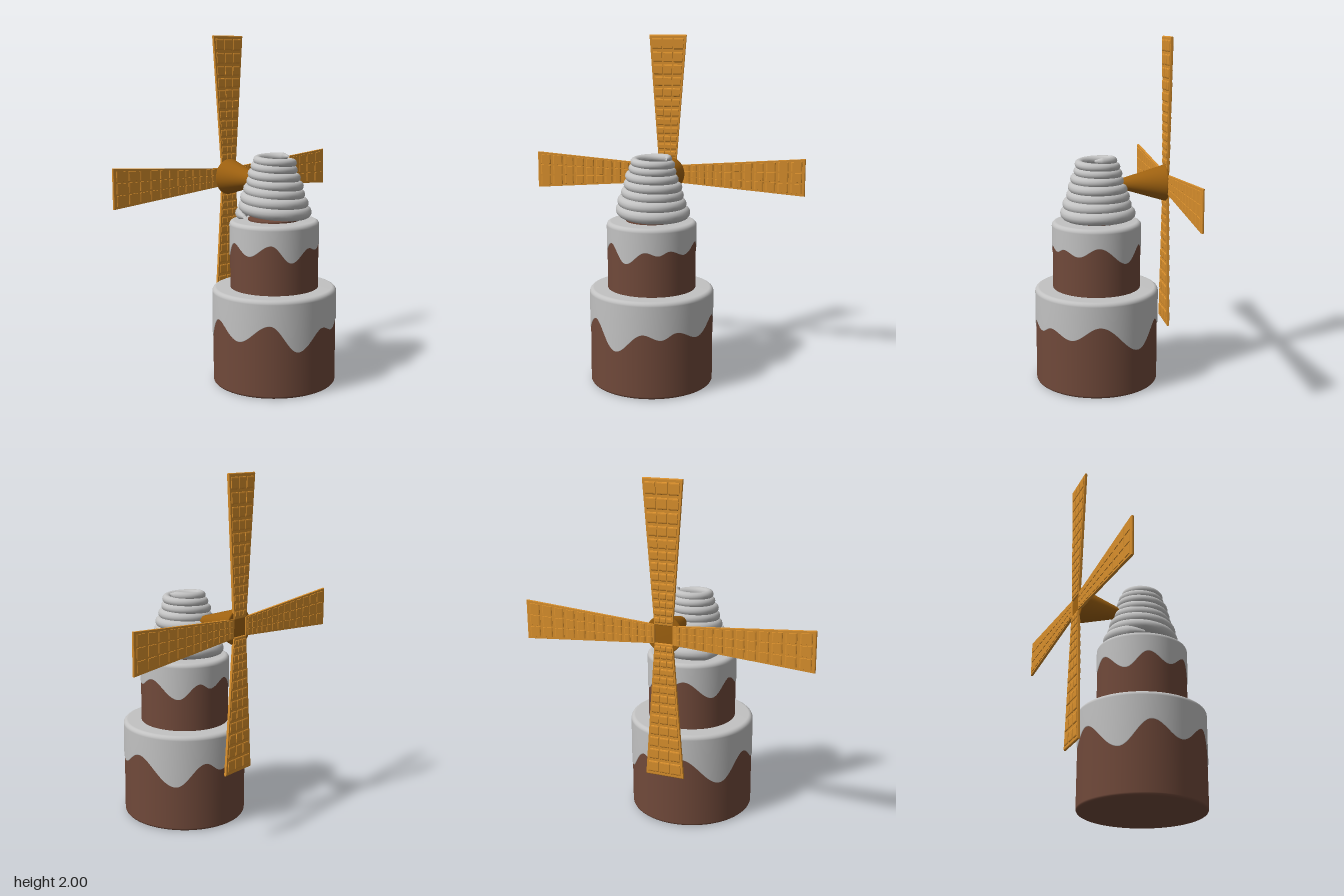
import * as THREE from 'three';
import { mergeGeometries } from 'three/addons/utils/BufferGeometryUtils.js';
import { RoundedBoxGeometry } from 'three/addons/geometries/RoundedBoxGeometry.js';
import { ParametricGeometry } from 'three/addons/geometries/ParametricGeometry.js';

const flat = (name, color, side = THREE.FrontSide) => {
  const m = new THREE.MeshStandardMaterial({ color, side });
  m.name = name;
  return m;
};

// Icing drip edge: [angle in degrees from the front, height 0..1]
const DRIPS = [[-185, 1], [-147, 0], [-119, 0.87], [-104, 0.55], [-80, 1], [-43, 0], [-15, 0.93],
  [12, 0.33], [42, 1], [68, 0], [95, 0.73], [111, 0.53], [126, 0.77], [148, 0.47], [175, 1]];

function dripHeight(deg) {
  if (deg > 175) deg -= 360;
  for (let i = 1; i < DRIPS.length; i++) {
    const [a, h] = DRIPS[i - 1], [b, k] = DRIPS[i];
    if (deg <= b) {
      const t = (1 - Math.cos(Math.PI * (deg - a) / (b - a))) / 2;
      return h + (k - h) * t;
    }
  }
  return 1;
}

// Quarter-round corner points for a lathe profile
function corner(cx, cy, r, from, to) {
  return Array.from({ length: 6 }, (_, i) => {
    const a = from + (to - from) * i / 5;
    return new THREE.Vector2(cx + r * Math.cos(a), cy + r * Math.sin(a));
  });
}

export function createModel() {
  const chocolate = flat('chocolate cake', 0x70493a);
  const cream = flat('cream icing', 0xc2c2c2, THREE.DoubleSide);
  const wafer = flat('golden wafer', 0xd98f2c);
  const biscuit = flat('dark biscuit', 0x9e6110);

  const model = new THREE.Group();
  model.name = 'windmillCake';
  const add = (parent, geometry, material, name) => {
    const mesh = new THREE.Mesh(geometry, material);
    mesh.name = name;
    parent.add(mesh);
    return mesh;
  };

  // Cake tier: chocolate body with a dripping icing shell
  function tier(name, radius, bottom, top, dripLow, dripHigh) {
    const group = new THREE.Group();
    group.name = name;
    group.position.set(0.025, 0, 0.008);
    const body = [new THREE.Vector2(0, bottom),
      ...corner(radius - 0.019, bottom + 0.015, 0.015, -Math.PI / 2, 0),
      new THREE.Vector2(radius - 0.004, top - 0.04)];
    add(group, new THREE.LatheGeometry(body, 96), chocolate, name + 'Body');

    const shell = [new THREE.Vector2(radius - 0.006, 0), new THREE.Vector2(radius, 0),
      ...corner(radius - 0.025, top - 0.025, 0.025, 0, Math.PI / 2),
      new THREE.Vector2(0, top)];
    const icing = new THREE.LatheGeometry(shell, 180);
    const p = icing.attributes.position;
    for (let i = 0; i < p.count; i++) {
      const row = i % shell.length;
      if (row > 1) continue;
      const h = dripHeight(Math.floor(i / shell.length) * 2);
      p.setY(i, dripLow + (dripHigh - dripLow) * h + row * 0.005);
    }
    add(group, icing, cream, name + 'Icing');
    model.add(group);
  }
  tier('lowerTier', 0.36, 0, 0.562, 0.26, 0.415);
  tier('upperTier', 0.259, 0.55, 0.952, 0.742, 0.842);

  // Chocolate floor inside the cream swirl
  const floor = add(model, new THREE.CylinderGeometry(0.15, 0.15, 0.01, 48), chocolate, 'swirlFloor');
  floor.position.set(0.022, 0.955, 0.008);

  // Hollow swirl: a tapering cream rope wound up a cone
  const TURNS = 7.5;
  const swirl = new ParametricGeometry((u, v, target) => {
    const t = 1 - Math.pow(1 - u, 1.15);
    const endTaper = Math.min(1, u / 0.015 + 0.3, (1 - u) / 0.015 + 0.3);
    const rope = (0.037 - 0.014 * t) * endTaper;
    const ring = 0.187 - 0.092 * t + 0.004 * Math.sin(u * 31);
    const a = -0.3 - u * TURNS * Math.PI * 2;
    const b = v * Math.PI * 2;
    const r = ring + rope * Math.cos(b);
    target.set(0.022 + r * Math.sin(a),
      0.975 + 0.335 * t + rope * Math.sin(b) - 0.012 * Math.sin(a) * (1 - t),
      0.008 + r * Math.cos(a));
  }, 360, 14);
  add(model, swirl, cream, 'creamSwirl');

  // Sails and their conical hub, turning about the x axis
  const windmill = new THREE.Group();
  windmill.name = 'windmill';
  windmill.position.set(-0.38, 1.165, 0);
  model.add(windmill);

  const cone = [new THREE.Vector2(0, 0), new THREE.Vector2(0.1, 0), new THREE.Vector2(0.106, 0.006),
    new THREE.Vector2(0.104, 0.014), new THREE.Vector2(0.034, 0.25),
    ...corner(0.008, 0.25, 0.026, 0.25, Math.PI / 2), new THREE.Vector2(0, 0.276)];
  const hub = add(windmill, new THREE.LatheGeometry(cone, 64), biscuit, 'hubCone');
  hub.rotation.z = -Math.PI / 2;

  // One sail, built straight and then widened towards its tip
  const halfWidth = y => 0.049 + 0.0767 * y;
  const INNER = 0.05, OUTER = 0.835;
  const pieces = [new RoundedBoxGeometry(0.015, OUTER - INNER, 2, 2, 0.007)
    .translate(0, (INNER + OUTER) / 2, 0)];
  for (let y = OUTER - 0.012; y > 0.09;) {
    const h = halfWidth(y) * 0.72;
    for (let col = -1; col <= 1; col++) {
      pieces.push(new RoundedBoxGeometry(0.023, h * 0.88, 0.54, 2, 0.0114)
        .translate(0, y - h / 2, col * 0.61));
    }
    y -= h;
  }
  const sail = mergeGeometries(pieces);
  const sp = sail.attributes.position;
  for (let i = 0; i < sp.count; i++) sp.setZ(i, sp.getZ(i) * halfWidth(sp.getY(i)));
  // Cells were rounded before widening, so refresh their shading
  sail.computeVertexNormals();

  for (let k = 0; k < 4; k++) {
    const mesh = add(windmill, sail, wafer, 'sail' + (k + 1));
    mesh.rotation.x = k * Math.PI / 2;
  }
  return model;
}
